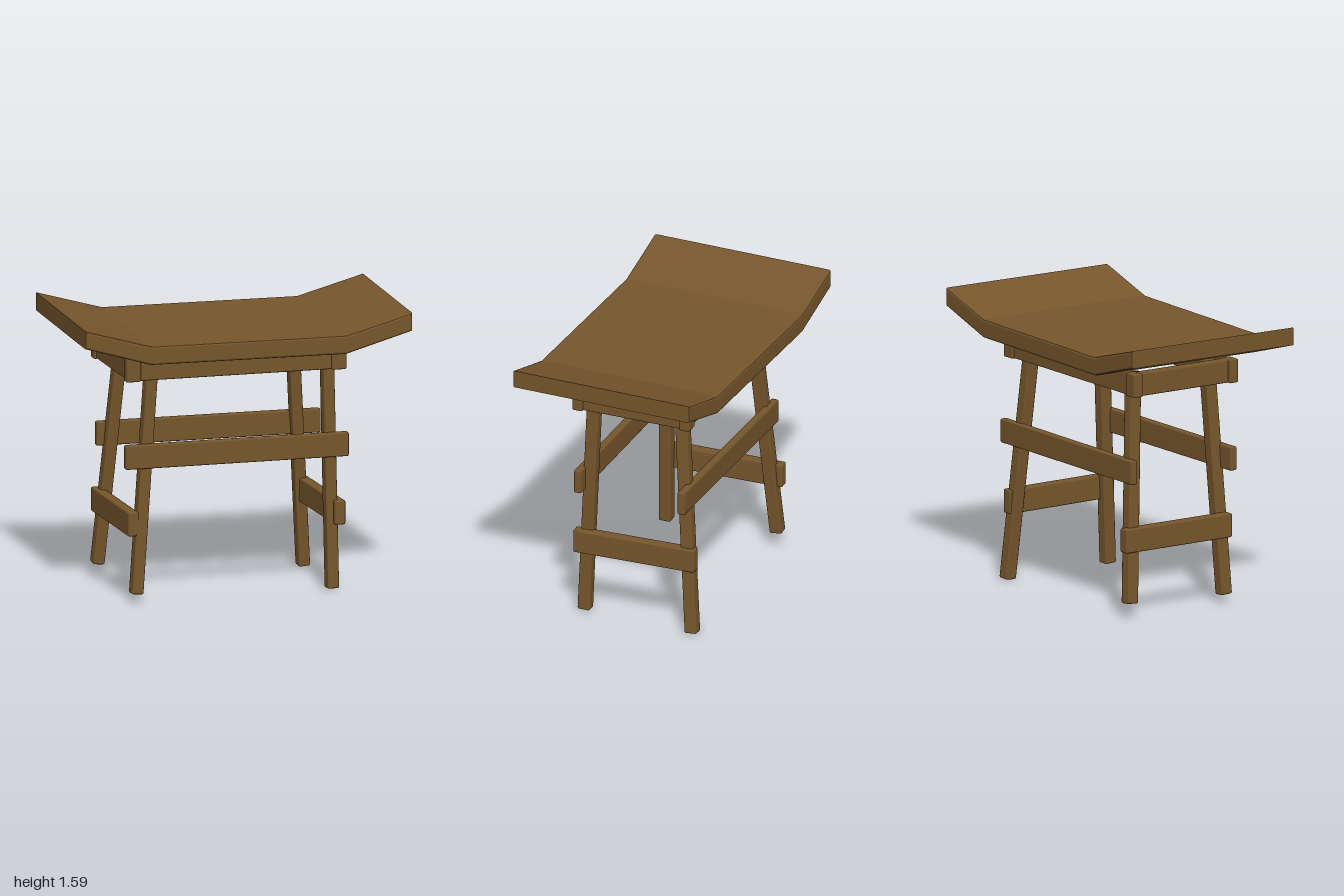
import * as THREE from 'three';
import { RoundedBoxGeometry } from 'three/addons/geometries/RoundedBoxGeometry.js';

export function createModel() {
  const group = new THREE.Group();
  const wood = new THREE.MeshStandardMaterial({ color: 0x76562c });
  wood.name = 'brown wood';

  // A board with softened edges, turned about the vertical axis
  function board(name, size, pos, yaw, parent = group) {
    const mesh = new THREE.Mesh(new RoundedBoxGeometry(...size, 1, 0.009), wood);
    mesh.name = name;
    mesh.position.set(...pos);
    mesh.rotation.y = yaw;
    parent.add(mesh);
    return mesh;
  }

  // Seat: flat middle with both ends swept upward
  const profile = new THREE.Shape([
    [-0.93, 1.49], [-0.555, 1.38], [0.555, 1.38], [0.93, 1.49],
    [0.93, 1.59], [0.555, 1.485], [-0.555, 1.485], [-0.93, 1.59],
  ].map(([x, y]) => new THREE.Vector2(x, y)));
  const bevel = 0.012;
  const seatGeometry = new THREE.ExtrudeGeometry(profile, {
    depth: 1.07 - 2 * bevel, bevelEnabled: true, bevelSize: bevel,
    bevelThickness: bevel, bevelOffset: -bevel, bevelSegments: 2,
  });
  seatGeometry.translate(0, 0, -0.535 + bevel);
  const seat = new THREE.Mesh(seatGeometry, wood);
  seat.name = 'seat';
  seat.rotation.y = -0.135;
  group.add(seat);

  // Apron frame: rails set slightly back between corner blocks
  const apron = new THREE.Group();
  apron.name = 'apron';
  apron.position.set(-0.025, 1.315, -0.015);
  apron.rotation.y = -0.11;
  group.add(apron);
  for (const s of [-1, 1]) {
    board('longApronRail', [1.2, 0.13, 0.045], [0, 0, s * 0.314], 0, apron);
    board('shortApronRail', [0.06, 0.13, 0.64], [s * 0.585, 0, 0], 0, apron);
    for (const t of [-1, 1]) {
      board('cornerBlock', [0.085, 0.134, 0.06], [s * 0.588, 0, t * 0.32], 0, apron);
    }
  }

  // Splayed legs: foot centre and the point reached at the apron's lower edge
  const legs = [
    ['frontLeftLeg', [0.498, 0.015, 0.345], [0.49, 1.25, 0.295]],
    ['frontRightLeg', [-0.615, 0.05, 0.22], [-0.518, 1.25, 0.19]],
    ['backLeftLeg', [0.595, 0.006, -0.30], [0.50, 1.25, -0.215]],
    ['backRightLeg', [-0.575, 0.088, -0.43], [-0.485, 1.25, -0.33]],
  ];
  for (const [name, foot, upper] of legs) {
    const a = new THREE.Vector3(...foot);
    const b = new THREE.Vector3(...upper);
    const top = a.clone().lerp(b, (1.365 - a.y) / (b.y - a.y));
    const axis = top.clone().sub(a);
    const leg = board(name, [0.066, axis.length(), 0.072], [0, 0, 0], 0);
    leg.position.copy(a).add(top).multiplyScalar(0.5);
    leg.quaternion.setFromUnitVectors(new THREE.Vector3(0, 1, 0), axis.normalize());
    leg.rotateY(-0.08);
  }

  // Long stretchers, fixed outside the legs
  board('frontStretcher', [1.28, 0.135, 0.045], [-0.05, 0.822, 0.297], -0.106);
  board('backStretcher', [1.28, 0.135, 0.045], [0.043, 0.822, -0.335], -0.12);

  // Short stretchers at the two ends, lower down
  board('leftStretcher', [0.062, 0.135, 0.715], [0.556, 0.443, 0.04], -0.08);
  board('rightStretcher', [0.062, 0.135, 0.715], [-0.602, 0.443, -0.115], -0.1);

  return group;
}
